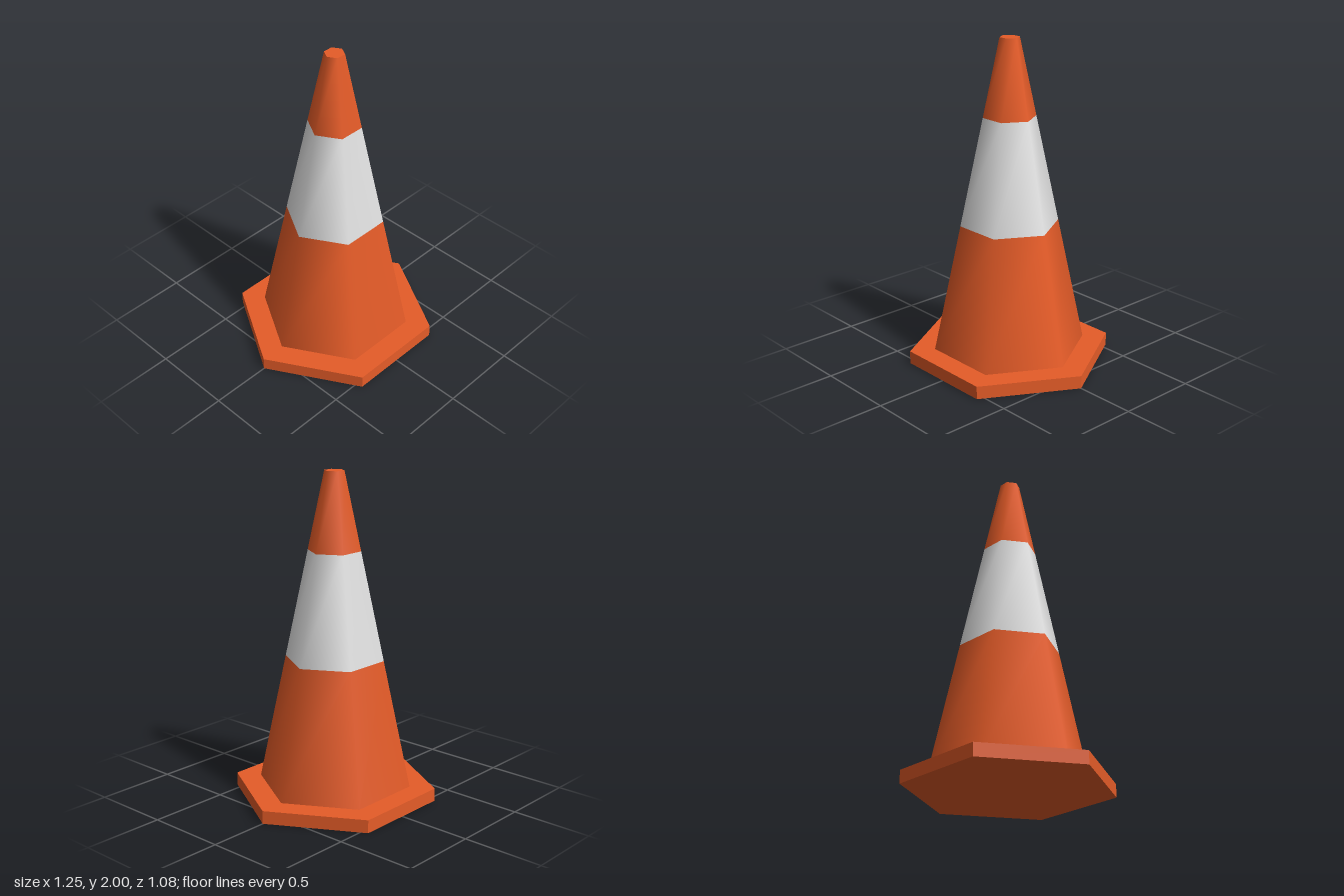
import * as THREE from 'three';

const SIDES = 6;
const BASE_TOP = 0.08, HEIGHT = 2;
const R_BOTTOM = 0.47, R_TOP = 0.06;

// Cone radius at a given height
const radiusAt = (y) =>
  THREE.MathUtils.mapLinear(y, BASE_TOP, HEIGHT, R_BOTTOM, R_TOP);

export function createModel() {
  const orange = new THREE.MeshStandardMaterial({ color: 0xe65c28 });
  orange.name = 'orange';
  const white = new THREE.MeshStandardMaterial({ color: 0xe4e4e4 });
  white.name = 'white';

  const group = new THREE.Group();
  group.name = 'trafficCone';

  const add = (name, geometry, material, y) => {
    const mesh = new THREE.Mesh(geometry, material);
    mesh.name = name;
    mesh.position.y = y;
    group.add(mesh);
  };

  // Hexagonal base slab with crisp edges, corners on the x axis
  const slab = new THREE.CylinderGeometry(0.625, 0.625, BASE_TOP, SIDES, 1, false, Math.PI / 2)
    .toNonIndexed();
  slab.computeVertexNormals();
  add('base', slab, orange, BASE_TOP / 2);

  // Smooth-shaded cone body in three colour bands
  const bands = [
    ['lowerBody', BASE_TOP, 0.87, orange],
    ['reflectiveBand', 0.87, 1.53, white],
    ['upperBody', 1.53, HEIGHT, orange],
  ];
  for (const [name, y0, y1, material] of bands) {
    const band = new THREE.CylinderGeometry(
      radiusAt(y1), radiusAt(y0), y1 - y0, SIDES, 1, true, Math.PI / 2);
    add(name, band, material, (y0 + y1) / 2);
  }

  // Flat tip
  add('tip', new THREE.CircleGeometry(R_TOP, SIDES).rotateX(-Math.PI / 2), orange, HEIGHT);

  return group;
}
